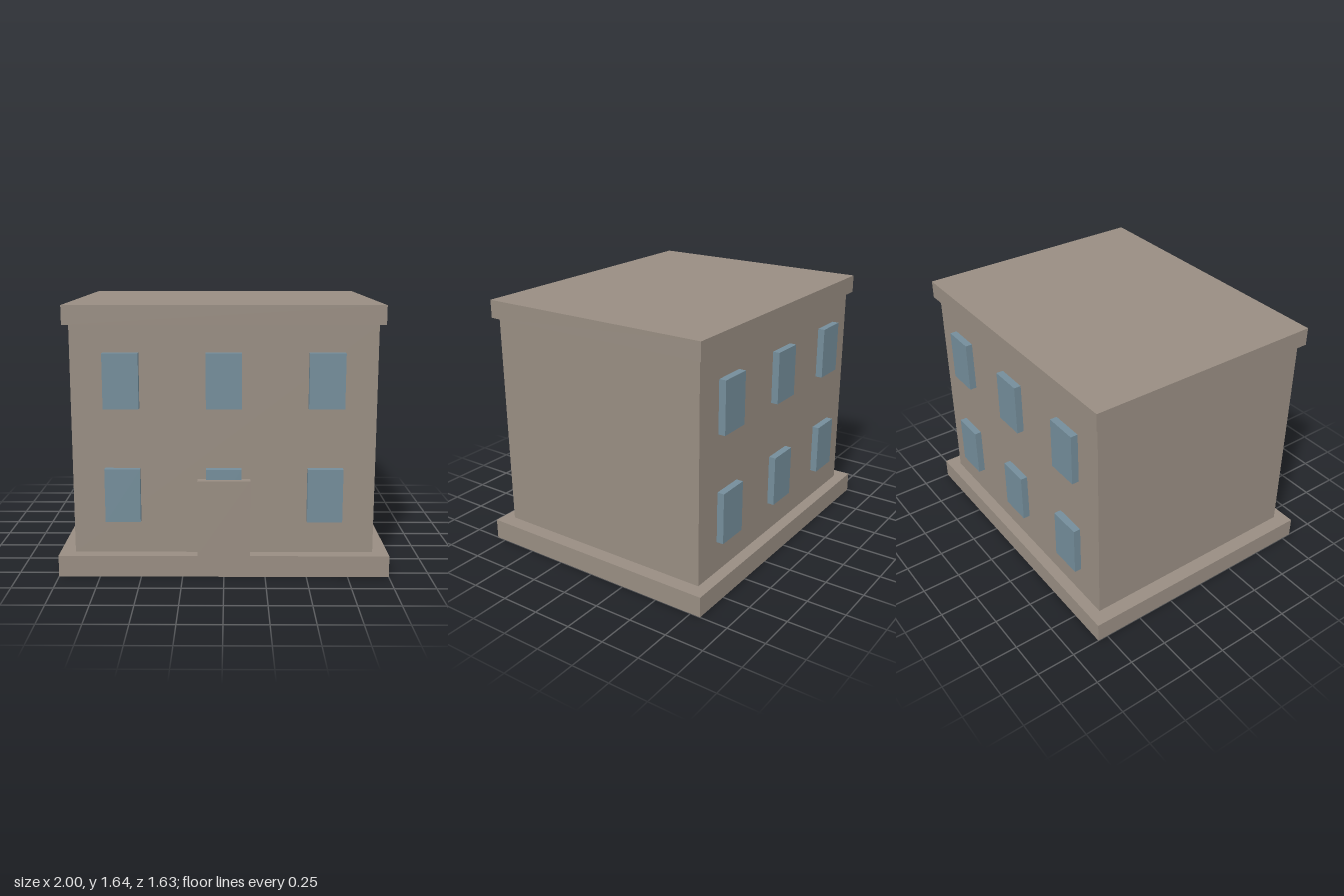
import * as THREE from 'three';

const stone = new THREE.MeshStandardMaterial({ color: 0x988d82 });
stone.name = 'stone';
const glass = new THREE.MeshStandardMaterial({ color: 0x748d9a });
glass.name = 'windowBlue';

// Box given by its extents along each axis
function block(name, material, [x0, x1], [y0, y1], [z0, z1]) {
  const mesh = new THREE.Mesh(new THREE.BoxGeometry(x1 - x0, y1 - y0, z1 - z0), material);
  mesh.position.set((x0 + x1) / 2, (y0 + y1) / 2, (z0 + z1) / 2);
  mesh.name = name;
  return mesh;
}

export function createModel() {
  const house = new THREE.Group();
  house.name = 'house';

  // Plinth, walls and overhanging flat roof
  house.add(
    block('plinth', stone, [-1, 1], [0, 0.132], [-0.817, 0.817]),
    block('walls', stone, [-0.907, 0.907], [0.132, 1.522], [-0.742, 0.742]),
    block('roof', stone, [-0.943, 0.943], [1.522, 1.636], [-0.772, 0.772]),
  );

  // Door slab standing just clear of the front wall
  house.add(block('door', stone, [-0.158, 0.158], [0.132, 0.598], [0.76, 0.813]));

  // Two rows of three raised windows on the front and back
  const windows = new THREE.Group();
  windows.name = 'windows';
  for (const [y0, y1] of [[0.335, 0.662], [1.027, 1.358]]) {
    for (const x of [-0.607, 0, 0.607]) {
      const span = [x - 0.106, x + 0.106];
      windows.add(
        block('frontWindow', glass, span, [y0, y1], [0.742, 0.787]),
        block('backWindow', glass, span, [y0, y1], [-0.787, -0.742]),
      );
    }
  }
  house.add(windows);
  return house;
}
